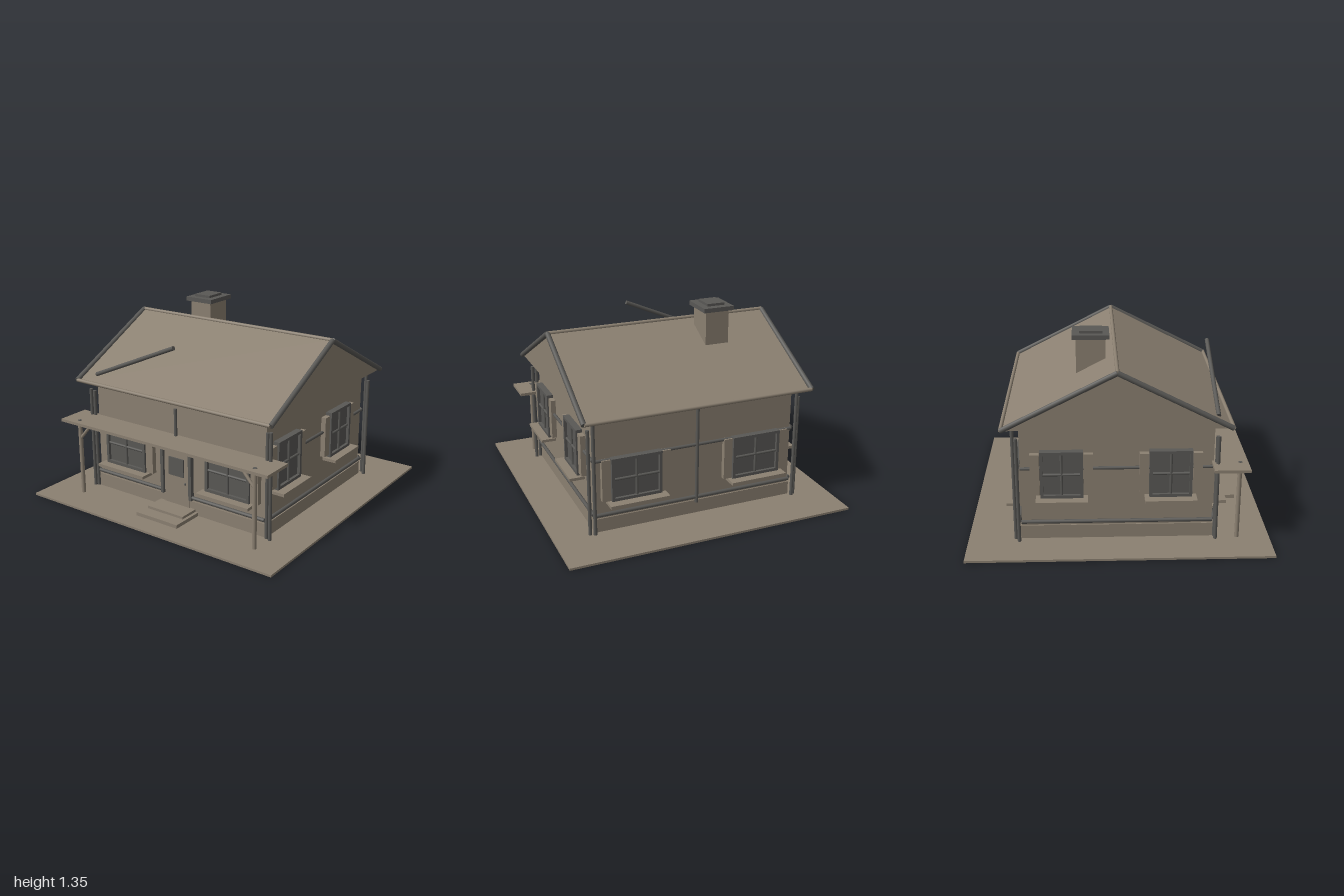
import * as THREE from 'three';

const tan = new THREE.MeshStandardMaterial({ color: 0x8b8071 });
tan.name = 'warm tan';
const dark = new THREE.MeshStandardMaterial({ color: 0x595855 });
dark.name = 'dark grey';

// Box given by its min and max corners
function box(parent, name, mat, x0, x1, y0, y1, z0, z1) {
  const m = new THREE.Mesh(new THREE.BoxGeometry(x1 - x0, y1 - y0, z1 - z0), mat);
  m.position.set((x0 + x1) / 2, (y0 + y1) / 2, (z0 + z1) / 2);
  m.name = name;
  parent.add(m);
  return m;
}

// Round bar between two points
function bar(parent, name, mat, a, b, radius, sides = 10) {
  const p = new THREE.Vector3(...a), q = new THREE.Vector3(...b);
  const d = q.clone().sub(p);
  const m = new THREE.Mesh(new THREE.CylinderGeometry(radius, radius, d.length(), sides), mat);
  m.position.copy(p).add(q).multiplyScalar(0.5);
  m.quaternion.setFromUnitVectors(new THREE.Vector3(0, 1, 0), d.normalize());
  m.name = name;
  parent.add(m);
  return m;
}

// Shuttered window facing +z, its middle at the origin on the wall face
function makeWindow(w, h, shutterH) {
  const g = new THREE.Group();
  g.name = 'window';
  const x = w / 2, y = h / 2, t = 0.02;
  box(g, 'glass', dark, -x, x, -y, y, -0.01, 0.025);
  for (const s of [-1, 1]) {
    box(g, 'frameSide', dark, s * (x - t / 2) - t / 2, s * (x - t / 2) + t / 2, -y, y, 0, 0.045);
    box(g, 'frameRail', dark, -x, x, s * (y - t / 2) - t / 2, s * (y - t / 2) + t / 2, 0, 0.045);
    const c = s * (x + 0.034);
    box(g, 'shutter', tan, c - 0.03, c + 0.03, -shutterH / 2, shutterH / 2, -0.01, 0.035);
  }
  bar(g, 'mullion', dark, [0, -y, 0.03], [0, y, 0.03], 0.009);
  bar(g, 'crossBar', dark, [-x, 0, 0.03], [x, 0, 0.03], 0.009);
  box(g, 'sill', tan, -x - 0.03, x + 0.03, -y - 0.02, -y, -0.01, 0.105);
  return g;
}

export function createModel() {
  const house = new THREE.Group();
  house.name = 'house';
  const X = 0.71, F = 0.615, B = -0.645, ridgeZ = -0.015, eave = 0.735;

  // Ground and walls
  box(house, 'ground', tan, -1, 1, 0, 0.015, -1, 1);
  box(house, 'walls', tan, -X, X, 0.01, 0.83, B, F);
  box(house, 'plinth', tan, -X - 0.008, X + 0.008, 0.01, 0.11, B - 0.008, F + 0.008);

  // Roof prism with closed gables
  const tri = new THREE.Shape([
    new THREE.Vector2(-eave, 0.82), new THREE.Vector2(eave, 0.82), new THREE.Vector2(0, 1.2),
  ]);
  const roofGeo = new THREE.ExtrudeGeometry(tri, { depth: 1.59, bevelEnabled: false });
  roofGeo.translate(0, 0, -0.795).rotateY(Math.PI / 2).translate(0, 0, ridgeZ);
  const roof = new THREE.Mesh(roofGeo, tan);
  roof.name = 'roof';
  house.add(roof);
  for (const s of [-1, 1]) {
    for (const e of [-1, 1]) {
      bar(house, 'gableTrim', dark, [s * 0.803, 0.825, ridgeZ + e * eave], [s * 0.803, 1.198, ridgeZ], 0.018);
    }
    bar(house, 'eaveTrim', tan, [-0.8, 0.827, ridgeZ + s * eave], [0.8, 0.827, ridgeZ + s * eave], 0.013);
  }
  bar(house, 'ridgeTrim', tan, [-0.8, 1.2, ridgeZ], [0.8, 1.2, ridgeZ], 0.013);

  // Chimney
  box(house, 'chimney', tan, -0.405, -0.235, 1.0, 1.3, -0.275, -0.08);
  box(house, 'chimneyCap', dark, -0.43, -0.21, 1.3, 1.33, -0.3, -0.055);
  box(house, 'chimneyTop', dark, -0.385, -0.257, 1.33, 1.347, -0.25, -0.1);

  // Leaning pole in front of the roof
  bar(house, 'slantedPole', dark, [-0.69, 0.868, 0.637], [0, 1.165, 0.637], 0.015);

  // Windows on the four walls
  const place = (win, x, y, z, turn) => {
    win.position.set(x, y, z);
    win.rotation.y = turn;
    house.add(win);
  };
  for (const s of [-1, 1]) {
    place(makeWindow(0.35, 0.3, 0.29), s * 0.433, 0.385, F, 0);
    place(makeWindow(0.35, 0.3, 0.29), s * 0.433, 0.385, B, Math.PI);
  }
  for (const z of [0.4, -0.272]) place(makeWindow(0.28, 0.325, 0.285), X, 0.488, z, Math.PI / 2);
  for (const z of [0.335, -0.375]) place(makeWindow(0.28, 0.325, 0.285), -X, 0.488, z, -Math.PI / 2);

  // Timber rails around the walls
  for (const [y, r] of [[0.14, 0.013], [0.525, 0.011]]) {
    for (const s of [-1, 1]) {
      bar(house, 'sideRail', dark, [s * (X + 0.012), y, B], [s * (X + 0.012), y, F], r);
      bar(house, 'frontRail', dark, [s * 0.115, y, F + 0.015], [s * X, y, F + 0.015], r);
    }
    bar(house, 'backRail', dark, [-X, y, B - 0.015], [X, y, B - 0.015], r);
  }

  // Timber posts at the corners and wall middles
  for (const s of [-1, 1]) {
    bar(house, 'cornerPost', dark, [s * 0.755, 0.01, 0.637], [s * 0.755, 0.75, 0.637], 0.012);
    bar(house, 'cornerPost', dark, [s * 0.727, 0.02, 0.632], [s * 0.727, 0.74, 0.632], 0.012);
    bar(house, 'cornerPost', dark, [s * 0.755, 0.01, -0.662], [s * 0.755, 0.75, -0.662], 0.012);
    bar(house, 'cornerPost', dark, [s * 0.727, 0.02, -0.685], [s * 0.727, 0.82, -0.685], 0.012);
  }
  bar(house, 'frontPost', dark, [0, 0.47, 0.632], [0, 0.75, 0.632], 0.011);
  bar(house, 'backPost', dark, [0, 0.1, -0.665], [0, 0.8, -0.665], 0.012);

  // Door and its frame
  box(house, 'door', tan, -0.105, 0.105, 0.05, 0.46, F, F + 0.015);
  for (const s of [-1, 1]) {
    box(house, 'doorFrameSide', dark, s * 0.119 - 0.012, s * 0.119 + 0.012, 0.12, 0.487, F, F + 0.03);
  }
  box(house, 'doorFrameTop', dark, -0.131, 0.131, 0.463, 0.487, F, F + 0.03);
  box(house, 'doorWindow', dark, -0.063, 0.063, 0.27, 0.4, F + 0.01, F + 0.024);
  const knob = new THREE.Mesh(new THREE.SphereGeometry(0.008, 12, 8), dark);
  knob.position.set(0.075, 0.228, F + 0.022);
  knob.name = 'doorKnob';
  house.add(knob);

  // Front steps
  box(house, 'lowerStep', tan, -0.175, 0.172, 0.01, 0.04, F, 0.855);
  box(house, 'upperStep', tan, -0.15, 0.15, 0.01, 0.058, F, 0.765);

  // Porch roof, columns and braces
  box(house, 'porchRoof', tan, -0.863, 0.86, 0.54, 0.56, 0.602, 0.835);
  for (const s of [-1, 1]) {
    bar(house, 'porchColumn', tan, [s * 0.735, 0.005, 0.783], [s * 0.735, 0.55, 0.783], 0.015, 16);
    bar(house, 'columnCap', dark, [s * 0.735, 0.555, 0.783], [s * 0.735, 0.562, 0.783], 0.014, 16);
    bar(house, 'porchBrace', tan, [s * 0.63, 0.545, 0.783], [s * 0.735, 0.425, 0.783], 0.011, 12);
  }
  return house;
}
